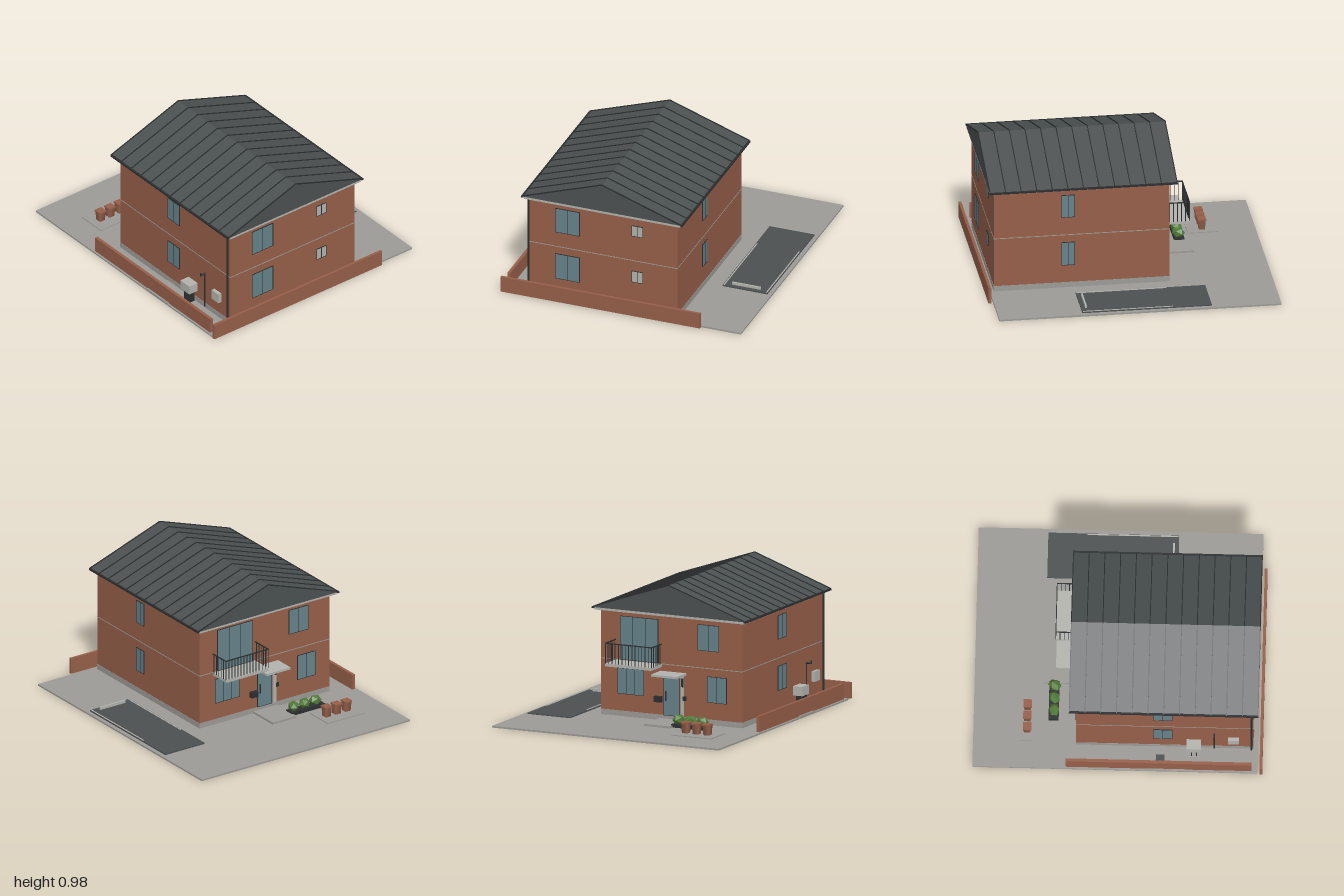
import * as THREE from 'three';

const mat = (name, color) => {
  const m = new THREE.MeshStandardMaterial({ color });
  m.name = name;
  return m;
};

export function createModel() {
  const brick = mat('brick', 0x965f49);
  const slate = mat('slate', 0x4b5051);
  const dark = mat('dark metal', 0x2b2e2f);
  const concrete = mat('concrete', 0x9b9a96);
  const pale = mat('pale grey', 0xb2b3ad);
  const glass = mat('glass', 0x658289);
  const leaf = mat('leaf', 0x517a38);

  const model = new THREE.Group();
  model.name = 'house';
  const add = (name, geo, m, parent = model) => {
    const mesh = new THREE.Mesh(geo, m);
    mesh.name = name;
    parent.add(mesh);
    return mesh;
  };
  // Box given by its limits on each axis
  const box = (name, m, x0, x1, y0, y1, z0, z1, parent = model) => {
    const b = add(name, new THREE.BoxGeometry(x1 - x0, y1 - y0, z1 - z0), m, parent);
    b.position.set((x0 + x1) / 2, (y0 + y1) / 2, (z0 + z1) / 2);
    return b;
  };

  // Plot, paving and boundary walls
  box('ground', concrete, -0.87, 0.88, 0, 0.012, -1, 0.96);
  box('frontBoundaryWall', brick, -0.88, 0.59, 0.008, 0.122, 0.975, 0.995);
  box('sideBoundaryWall', brick, -0.857, -0.835, 0.012, 0.122, -0.36, 0.92);
  box('doorStep', concrete, -0.25, -0.05, 0.012, 0.026, -0.525, -0.29);
  box('potPad', concrete, -0.675, -0.365, 0.012, 0.018, -0.735, -0.525);
  box('sidePad', concrete, -0.87, -0.69, 0.012, 0.018, 0.23, 0.46);
  box('drainCover', slate, -0.81, -0.755, 0.018, 0.026, 0.26, 0.32);

  // Parking bay
  box('parkingBay', slate, 0.52, 0.85, 0.012, 0.021, -0.52, 0.38);
  for (const x of [0.53, 0.843]) box('bayLine', pale, x - 0.004, x + 0.004, 0.02, 0.024, -0.25, 0.375);
  box('wheelStop', pale, 0.58, 0.79, 0.02, 0.04, 0.34, 0.352);

  // House body
  box('foundation', concrete, -0.692, 0.402, 0.012, 0.05, -0.292, 0.932);
  box('walls', brick, -0.69, 0.40, 0.05, 0.752, -0.29, 0.93);
  box('floorBand', concrete, -0.692, 0.402, 0.404, 0.409, -0.292, 0.932);

  // Gable roof with standing seams
  box('soffit', pale, -0.72, 0.43, 0.75, 0.769, -0.332, 0.962);
  const x0 = -0.732, x1 = 0.442, xr = -0.145, eave = 0.768, ridge = 0.97;
  const gable = new THREE.Shape([
    new THREE.Vector2(x0, eave), new THREE.Vector2(x1, eave), new THREE.Vector2(xr, ridge),
  ]);
  const roof = add('roof', new THREE.ExtrudeGeometry(gable, { depth: 1.305, bevelEnabled: false }), slate);
  roof.position.z = -0.34;
  const slope = Math.atan2(ridge - eave, x1 - xr);
  const run = Math.hypot(ridge - eave, x1 - xr);
  for (let i = 0; i <= 12; i++) {
    for (const s of [-1, 1]) {
      const seam = add('roofSeam', new THREE.BoxGeometry(run, 0.008, 0.006), dark);
      seam.position.set(xr + s * (x1 - xr) / 2, (eave + ridge) / 2 + 0.002, -0.337 + i * 0.1083);
      seam.rotation.z = -s * slope;
    }
  }
  for (const x of [x0, x1]) box('gutter', dark, x - 0.007, x + 0.007, 0.759, 0.771, -0.34, 0.965);

  // Each wall is a group turned so its own +z faces outwards
  const wall = (name, angle) => {
    const g = new THREE.Group();
    g.name = name;
    g.rotation.y = angle;
    model.add(g);
    return g;
  };
  const windowAt = (g, d, u0, u1, y0, y1, panes = 2, pane = glass, name = 'window') => {
    box(name + 'Pane', pane, u0, u1, y0, y1, d - 0.004, d + 0.004, g);
    const t = 0.003, a = d - 0.003, b = d + 0.006;
    for (let i = 0; i <= panes; i++) {
      const u = u0 + (u1 - u0) * i / panes;
      box(name + 'Upright', dark, u - t / 2, u + t / 2, y0, y1, a, b, g);
    }
    for (const y of [y0, y1]) box(name + 'Rail', dark, u0, u1, y - t / 2, y + t / 2, a, b, g);
  };

  const front = wall('frontWindows', 0);
  windowAt(front, 0.93, -0.5, -0.32, 0.52, 0.705);
  windowAt(front, 0.93, -0.5, -0.32, 0.158, 0.35);
  windowAt(front, 0.93, 0.065, 0.145, 0.6, 0.68, 2, pale);
  windowAt(front, 0.93, 0.065, 0.145, 0.24, 0.325, 2, pale);

  const right = wall('drivewaySideWindows', Math.PI / 2);
  const left = wall('gardenSideWindows', -Math.PI / 2);
  for (const [y0, y1] of [[0.54, 0.705], [0.18, 0.35]]) {
    windowAt(right, 0.40, -0.46, -0.368, y0, y1);
    windowAt(left, 0.69, 0.24, 0.37, y0, y1);
  }

  const back = wall('backWindows', Math.PI);
  windowAt(back, 0.29, -0.25, 0.04, 0.41, 0.715, 3, glass, 'balconyDoor');
  windowAt(back, 0.29, 0.35, 0.51, 0.53, 0.71);
  windowAt(back, 0.29, 0.42, 0.57, 0.17, 0.35);
  windowAt(back, 0.29, -0.27, -0.07, 0.17, 0.35, 3);
  windowAt(back, 0.29, 0.085, 0.205, 0.05, 0.32, 1, glass, 'entranceDoor');
  box('doorHandle', dark, 0.1, 0.106, 0.15, 0.22, 0.29, 0.302, back);
  box('doorSidePanel', pale, 0.215, 0.24, 0.05, 0.33, 0.29, 0.298, back);
  box('doorLamp', dark, 0.225, 0.24, 0.26, 0.32, 0.296, 0.305, back);
  box('doorbell', dark, 0.235, 0.26, 0.165, 0.195, 0.29, 0.3, back);
  box('letterBox', dark, 0.02, 0.075, 0.14, 0.18, 0.29, 0.32, back);
  box('canopy', pale, 0.06, 0.26, 0.343, 0.358, 0.29, 0.44, back);

  // Balcony with barred railing
  const bx0 = -0.068, bx1 = 0.288, bz = -0.445;
  box('balconyFloor', pale, bx0, bx1, 0.385, 0.405, -0.45, -0.29);
  const r = 0.003;
  box('balconyRail', dark, bx0 - r, bx1 + r, 0.543, 0.55, bz - r, bz + r);
  for (const x of [bx0, bx1]) box('balconyRail', dark, x - r, x + r, 0.543, 0.55, bz, -0.29);
  const bar = (x, z) => box('balconyBar', dark, x - 0.002, x + 0.002, 0.405, 0.545, z - 0.002, z + 0.002);
  for (let i = 0; i <= 14; i++) bar(bx0 + (bx1 - bx0) * i / 14, bz);
  for (let i = 1; i <= 5; i++) for (const x of [bx0, bx1]) bar(x, bz + i * 0.028);

  // Planter with clipped bushes
  box('planter', dark, -0.52, -0.24, 0.012, 0.035, -0.485, -0.415);
  for (let i = 0; i < 3; i++) {
    const geo = new THREE.IcosahedronGeometry(0.042, 0);
    const bush = add('bush', geo, leaf);
    bush.position.set(-0.46 + i * 0.09, 0.064, -0.447);
    bush.scale.set(1.15, 0.9, 0.95);
    bush.rotation.y = i * 0.5;
  }
  leaf.flatShading = false;

  // Square tapered pots
  for (let i = 0; i < 3; i++) {
    const x = -0.595 + i * 0.083;
    const pot = add('pot', new THREE.CylinderGeometry(0.036, 0.03, 0.068, 4).rotateY(Math.PI / 4), brick);
    pot.position.set(x, 0.052, -0.63);
    box('potRim', brick, x - 0.029, x + 0.029, 0.084, 0.096, -0.659, -0.601);
  }

  // Services on the garden side
  const pipe = (name, a, b, rad) => {
    const path = new THREE.LineCurve3(new THREE.Vector3(...a), new THREE.Vector3(...b));
    add(name, new THREE.TubeGeometry(path, 1, rad, 8), dark);
  };
  pipe('downpipe', [-0.702, 0.02, 0.915], [-0.702, 0.765, 0.915], 0.007);
  pipe('ventPipe', [-0.7, 0.03, 0.66], [-0.7, 0.3, 0.66], 0.005);
  pipe('ventArm', [-0.695, 0.3, 0.66], [-0.738, 0.3, 0.66], 0.006);
  pipe('ventOutlet', [-0.736, 0.295, 0.66], [-0.736, 0.322, 0.66], 0.006);
  box('outdoorUnit', pale, -0.765, -0.692, 0.105, 0.17, 0.47, 0.57);
  box('unitStand', dark, -0.755, -0.7, 0.012, 0.105, 0.5, 0.508);
  box('unitStand', dark, -0.755, -0.7, 0.012, 0.105, 0.535, 0.543);
  box('meterBox', pale, -0.716, -0.69, 0.15, 0.222, 0.755, 0.83);

  return model;
}
